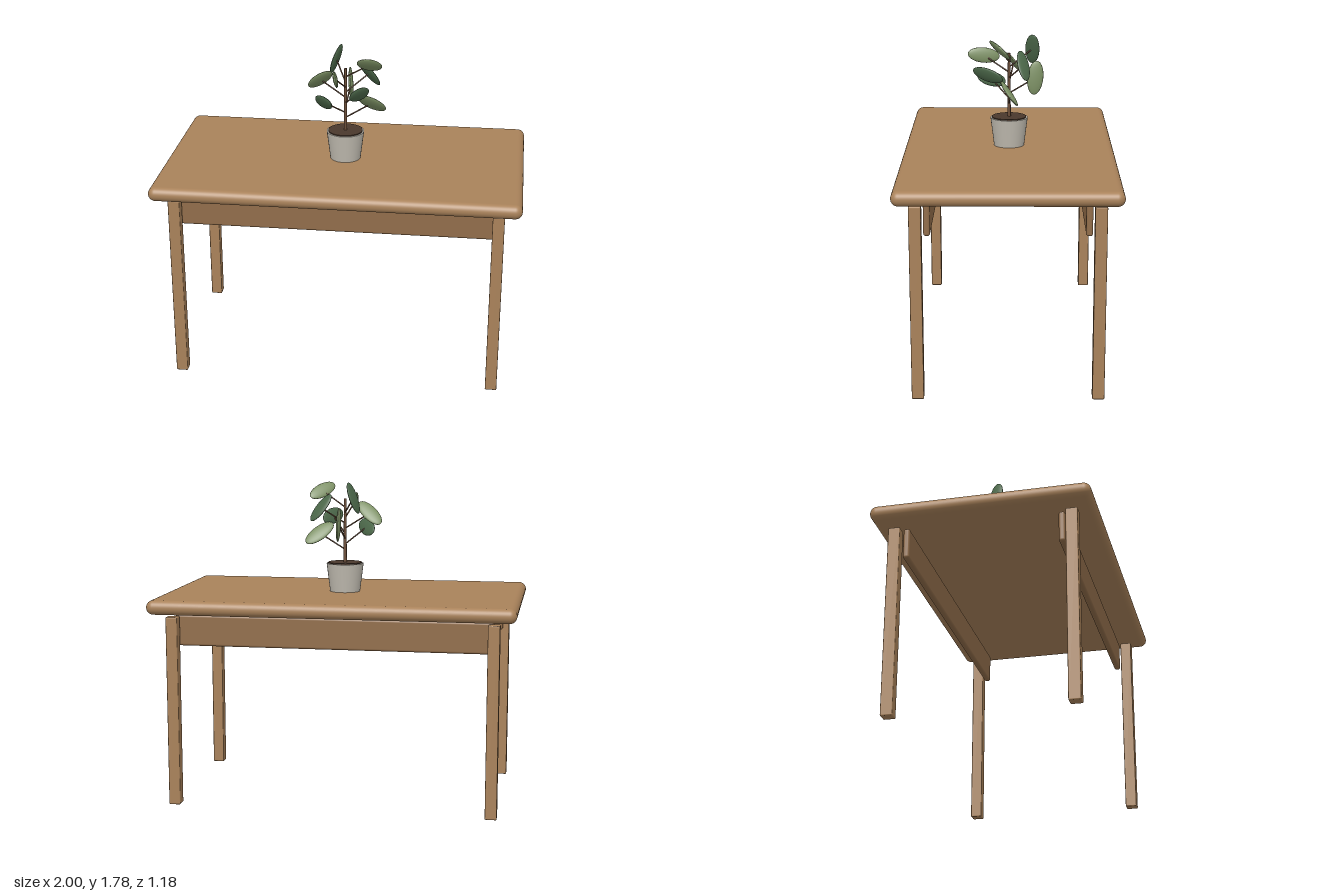
import * as THREE from 'three';
import { RoundedBoxGeometry } from 'three/addons/geometries/RoundedBoxGeometry.js';

const material = (color) => new THREE.MeshStandardMaterial({ color });
const wood = material(0xa9825a);
const darkWood = material(0x916d4a);
const clay = material(0xc0bbb0);
const soilMat = material(0x4a382c);
const bark = material(0x6b4d38);
const leafMats = [material(0x7c9064), material(0x4c684a)];

function add(parent, name, geometry, mat, x = 0, y = 0, z = 0) {
  const mesh = new THREE.Mesh(geometry, mat);
  mesh.name = name;
  mesh.position.set(x, y, z);
  parent.add(mesh);
  return mesh;
}

// Straight round twig between two points
function addTwig(parent, name, from, to, r0, r1) {
  const dir = to.clone().sub(from);
  const mid = from.clone().add(to).multiplyScalar(0.5);
  const twig = add(parent, name, new THREE.CylinderGeometry(r1, r0, dir.length(), 10), bark, mid.x, mid.y, mid.z);
  twig.quaternion.setFromUnitVectors(new THREE.Vector3(0, 1, 0), dir.normalize());
}

function createTable() {
  const table = new THREE.Group();
  table.name = 'table';
  add(table, 'tableTop', new RoundedBoxGeometry(2, 0.079, 1.18, 6, 0.039), wood, 0, 1.116, 0);

  const legGeo = new RoundedBoxGeometry(0.064, 1.056, 0.064, 3, 0.006);
  const apronGeo = new RoundedBoxGeometry(1.75, 0.172, 0.035, 4, 0.013);
  for (const sz of [1, -1]) {
    add(table, sz > 0 ? 'frontApron' : 'backApron', apronGeo, darkWood, 0, 0.975, sz * 0.417);
    for (const sx of [1, -1]) {
      const name = (sz > 0 ? 'front' : 'back') + (sx > 0 ? 'Left' : 'Right') + 'Leg';
      add(table, name, legGeo, wood, sx * 0.878, 0.528, sz * 0.475);
    }
  }
  return table;
}

function createPlant() {
  const plant = new THREE.Group();
  plant.name = 'pottedPlant';

  // Tapered pot with soil just above its rim
  add(plant, 'pot', new THREE.CylinderGeometry(0.105, 0.085, 0.16, 32), clay, 0, 1.235, 0);
  add(plant, 'soil', new THREE.CylinderGeometry(0.096, 0.096, 0.02, 32), soilMat, 0, 1.311, 0);
  addTwig(plant, 'stem', new THREE.Vector3(0, 1.31, 0), new THREE.Vector3(0, 1.68, 0), 0.01, 0.007);

  // Leaves spiral up the stem by the golden angle
  const leafGeo = new THREE.SphereGeometry(1, 20, 14);
  for (let i = 0; i < 9; i++) {
    const angle = THREE.MathUtils.degToRad(137.5 * i);
    const y = 1.483 + 0.0297 * i;
    const tip = new THREE.Vector3(Math.cos(angle) * 0.147, y, Math.sin(angle) * 0.147);
    addTwig(plant, 'leafStalk', new THREE.Vector3(0, y - 0.09, 0), tip, 0.004, 0.004);
    const leaf = add(plant, 'leaf', leafGeo, leafMats[i % 2], tip.x, tip.y, tip.z);
    const size = 0.098 - 0.0012 * i;
    leaf.scale.set(size * 0.47, size, size * 0.14);
    leaf.rotation.set(0.68, angle, 0.78);
  }
  return plant;
}

export function createModel() {
  const model = new THREE.Group();
  model.name = 'tableWithPlant';
  model.add(createTable(), createPlant());
  return model;
}
